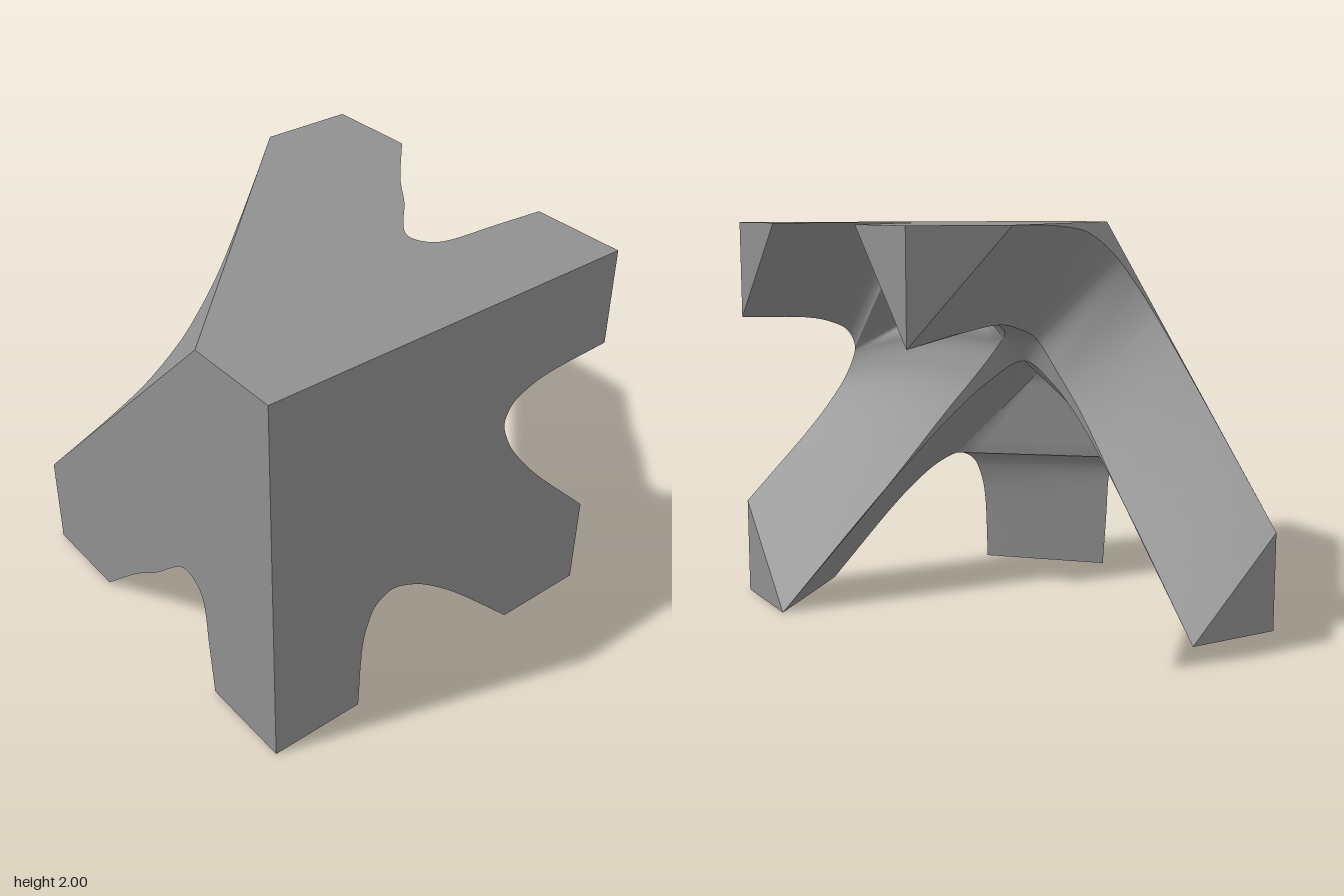
import * as THREE from 'three';
import { mergeGeometries, mergeVertices } from 'three/addons/utils/BufferGeometryUtils.js';

// Working frame: u, v, w run 0..2 away from the solid corner (right, down, back).
const V = (u, v, w) => new THREE.Vector3(u, v, w);
const toWorld = (p) => V(p.x - 1, 2 - p.y, 1 - p.z);
const swap = (p) => V(p.y, p.x, p.z); // mirror plane u = v
const N = 18;

// Triangles from points and indices, wound so that they face dir
function surface(points, index, dir) {
  const pts = points.map(toWorld);
  const d = V(dir[0], -dir[1], -dir[2]);
  const sum = V(0, 0, 0);
  for (let i = 0; i < index.length; i += 3) {
    const [a, b, c] = [0, 1, 2].map((k) => pts[index[i + k]]);
    sum.add(b.clone().sub(a).cross(c.clone().sub(a)));
  }
  const order = sum.dot(d) < 0 ? index.slice().reverse() : index;
  const g = new THREE.BufferGeometry().setFromPoints(pts);
  g.setIndex(order);
  return g;
}

// Flat polygon, triangulated after dropping one axis
function flat(points, drop, dir) {
  const [a, b] = ['x', 'y', 'z'].filter((k) => k !== drop);
  const outline = points.map((p) => new THREE.Vector2(p[a], p[b]));
  return surface(points, THREE.ShapeUtils.triangulateShape(outline, []).flat(), dir);
}

// One row between two points, bowed toward an optional pole
function row(a, b, n, pole, k) {
  const mid = a.clone().lerp(b, 0.5);
  if (pole) mid.lerp(pole, k);
  return new THREE.QuadraticBezierCurve3(a, mid, b).getPoints(n);
}

// Surface lofted between two rails that both run from their tip outward
function strip(railA, railB, dir, pole, bow = 0, n = 8) {
  const pts = [];
  const index = [];
  for (let i = 0; i <= N; i++) {
    pts.push(...row(railA[i], railB[i], n, pole, bow * (1 - i / N) ** 2));
  }
  for (let i = 0; i < N; i++) {
    for (let j = 0; j < n; j++) {
      const a = i * (n + 1) + j;
      const b = a + n + 1;
      index.push(a, b, a + 1, a + 1, b, b + 1);
    }
  }
  return surface(pts, index, dir);
}

// Rings drawn in from a closed rim to a pole
function fan(rim, pole, dir, rings = 6) {
  const pts = [];
  const index = [];
  const m = rim.length;
  for (let r = 0; r < rings; r++) {
    for (const p of rim) pts.push(p.clone().lerp(pole, r / rings));
  }
  pts.push(pole);
  for (let r = 0; r < rings; r++) {
    for (let i = 0; i < m; i++) {
      const a = r * m + i;
      const b = r * m + ((i + 1) % m);
      if (r === rings - 1) index.push(a, b, rings * m);
      else index.push(a, b, a + m, b, b + m, a + m);
    }
  }
  return surface(pts, index, dir);
}

// Curve whose tip is its middle point, sampled as two halves from the tip
function halves(points) {
  const c = new THREE.CatmullRomCurve3(points, false, 'centripetal');
  const sample = (end) => Array.from({ length: N + 1 }, (_, i) => c.getPoint(0.5 + (end - 0.5) * (i / N)));
  return [sample(0), sample(1)];
}

function smooth(parts) {
  const g = mergeVertices(mergeGeometries(parts), 1e-4);
  g.computeVertexNormals();
  return g;
}

function faceted(parts) {
  const g = mergeGeometries(parts).toNonIndexed();
  g.computeVertexNormals();
  return g;
}

export function createModel() {
  const group = new THREE.Group();
  const grey = new THREE.MeshStandardMaterial({ color: 0x909090, side: THREE.DoubleSide });
  grey.name = 'plain grey';
  const add = (name, geometry) => {
    const mesh = new THREE.Mesh(geometry, grey);
    mesh.name = name;
    group.add(mesh);
  };

  // Notch outlines in the flat outer faces: straight arm first, diagonal arm last
  const frontNotch = halves([
    [2, 0.5], [1.6, 0.52], [1.48, 0.55], [1.4, 0.59], [1.36, 0.65], [1.35, 0.7],
    [1.37, 0.77], [1.42, 0.87], [1.5, 0.98], [1.62, 1.12], [2, 1.5],
  ].map(([u, v]) => V(u, v, 0)));
  const topNotch = halves([
    [2, 0.5], [1.7, 0.53], [1.47, 0.55], [1.39, 0.58], [1.345, 0.64], [1.335, 0.69],
    [1.35, 0.74], [1.43, 0.84], [1.55, 0.97], [1.7, 1.17], [2, 1.5],
  ].map(([u, w]) => V(u, 0, w)));

  // Notch in the slanted back face, symmetric about u = v
  const backHalf = [
    [1.5, 0], [1.1, 0.006], [0.8, 0.018], [0.51, 0.045], [0.37, 0.085], [0.26, 0.14],
  ].map(([u, v]) => V(u, v, u + v + 0.5));
  const backNotch = halves([...backHalf, V(0.19, 0.19, 0.88), ...backHalf.map(swap).reverse()]);

  // Crease curves around the inner hub, joining pairs of diagonal-arm ridges
  const ridge = [[2, 2, 0.5], [1.4, 1.4, 0.5], [1.03, 1, 0.51], [0.86, 0.8, 0.55]];
  const creaseAD = halves([ // top diagonal to front diagonal
    ...ridge.map(([s, l, m]) => V(s, m, l)),
    V(0.75, 0.62, 0.62),
    ...ridge.map(([s, l, m]) => V(s, l, m)).reverse(),
  ]);
  const creaseDE = halves([ // top diagonal to side diagonal
    ...ridge.map(([s, l, m]) => V(l, m, s)),
    V(0.62, 0.62, 0.75),
    ...ridge.map(([s, l, m]) => V(m, l, s)).reverse(),
  ]);
  const mirrored = (h) => h.map((pts) => pts.map(swap));
  const creaseBE = mirrored(creaseAD);
  const sideNotch = mirrored(topNotch);
  const lowerNotch = mirrored(frontNotch);

  // Flat outer faces
  const joined = ([a, b]) => [...a.slice().reverse(), ...b.slice(1)];
  add('frontFace', faceted([flat([
    V(0, 0, 0), V(2, 0, 0), ...joined(frontNotch), V(2, 2, 0),
    ...joined(lowerNotch).reverse(), V(0, 2, 0),
  ], 'z', [0, 0, -1])]));
  const top = [V(0, 0, 0), V(2, 0, 0), ...joined(topNotch), V(2, 0, 2), V(1.5, 0, 2), V(0, 0, 0.5)];
  add('topFace', faceted([flat(top, 'y', [0, -1, 0])]));
  add('sideFace', faceted([flat(top.map(swap), 'x', [-1, 0, 0])]));
  add('slantedBackFace', faceted([flat([V(0, 0, 0.5), ...joined(backNotch)], 'z', [-1, -1, 1])]));

  // Triangular arm ends
  const ends = [
    ['x', [2, 0, 0], [2, 0.5, 0], [2, 0, 0.5]],
    ['x', [2, 2, 0], [2, 1.5, 0], [2, 2, 0.5]],
    ['x', [2, 0, 2], [2, 0, 1.5], [2, 0.5, 2]],
    ['z', [2, 0, 2], [1.5, 0, 2], [2, 0.5, 2]],
  ];
  const caps = [];
  for (const [axis, ...tri] of ends) {
    const pts = tri.map((p) => V(...p));
    caps.push(surface(pts, [0, 1, 2], axis === 'x' ? [1, 0, 0] : [0, 0, 1]));
    caps.push(surface(pts.map(swap), [0, 1, 2], axis === 'x' ? [0, 1, 0] : [0, 0, 1]));
  }
  add('armEnds', faceted(caps));

  // Smooth saddle between the top and side diagonal arms
  add('backHollow', smooth([
    strip(backNotch[0], creaseDE[0], [-1, 1, 1]),
    strip(backNotch[1], creaseDE[1], [1, -1, 1]),
  ]));

  // Smooth three-armed hollow around each straight arm
  function hollow(flip) {
    const f = flip ? swap : (p) => p;
    const d = (u, v, w) => (flip ? [v, u, w] : [u, v, w]);
    const m = (rail) => rail.map(f);
    const pole = f(V(0.85, 0.36, 0.36));
    const bow = 0.45;
    const [tA, tD] = topNotch.map(m);
    const [fA, fC] = frontNotch.map(m);
    const [kD, kC] = creaseAD.map(m);
    const rim = [
      ...row(tD[0], kD[0], 8, pole, bow).slice(0, -1),
      ...row(fC[0], kC[0], 8, pole, bow).reverse().slice(0, -1),
      ...row(fA[0], tA[0], 8).slice(0, -1),
    ];
    return smooth([
      strip(tD, kD, d(1, 1, -1), pole, bow),
      strip(fC, kC, d(1, -1, 1), pole, bow),
      strip(fA, tA, d(0, 1, 1)),
      fan(rim, pole, d(1, 1, 1)),
    ]);
  }
  add('upperArmHollow', hollow(false));
  add('lowerArmHollow', hollow(true));

  // Small hub patch where the three ridges meet
  const hubRim = [
    ...row(creaseAD[0][0], creaseDE[0][0], 4).slice(0, -1),
    ...row(creaseDE[0][0], creaseBE[0][0], 4).slice(0, -1),
    ...row(creaseBE[0][0], creaseAD[0][0], 4).slice(0, -1),
  ];
  add('innerHub', smooth([
    strip(creaseAD[0], creaseDE[0], [0, 1, 0], null, 0, 4),
    strip(creaseDE[1], creaseBE[0], [1, 0, 0], null, 0, 4),
    strip(creaseAD[1], creaseBE[1], [0, 0, 1], null, 0, 4),
    fan(hubRim, V(0.66, 0.66, 0.66), [1, 1, 1], 2),
  ]));
  return group;
}
